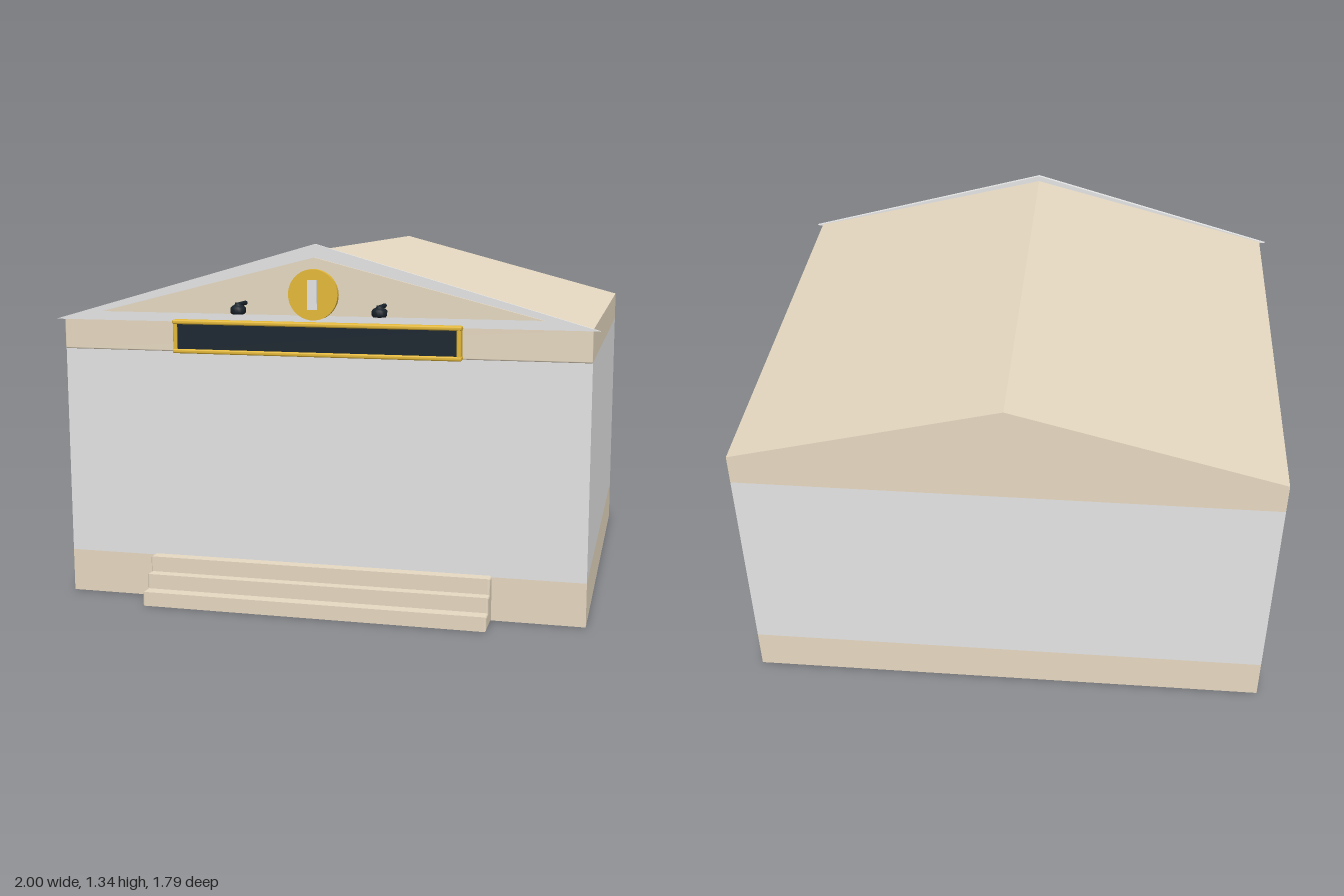
import * as THREE from 'three';
import { RoundedBoxGeometry } from 'three/addons/geometries/RoundedBoxGeometry.js';

const makeMaterial = (name, color) => {
  const m = new THREE.MeshStandardMaterial({ color });
  m.name = name;
  return m;
};

export function createModel() {
  const sand = makeMaterial('sand stone', 0xe7d9c2);
  const grey = makeMaterial('light grey plaster', 0xe5e5e5);
  const gold = makeMaterial('gold', 0xe5b938);
  const navy = makeMaterial('dark navy', 0x1b2530);
  const black = makeMaterial('lamp black', 0x18222a);

  const model = new THREE.Group();
  model.name = 'building';

  const add = (name, geometry, material, x = 0, y = 0, z = 0, parent = model) => {
    const mesh = new THREE.Mesh(geometry, material);
    mesh.name = name;
    mesh.position.set(x, y, z);
    parent.add(mesh);
    return mesh;
  };

  // Extruded gable triangle with its base at y0, its peak at y1, spanning z0 to z1
  const gable = (name, halfWidth, y0, y1, z0, z1, material) => {
    const shape = new THREE.Shape([
      new THREE.Vector2(-halfWidth, y0),
      new THREE.Vector2(halfWidth, y0),
      new THREE.Vector2(0, y1),
    ]);
    const geometry = new THREE.ExtrudeGeometry(shape, { depth: z1 - z0, bevelEnabled: false });
    return add(name, geometry, material, 0, 0, z0);
  };

  // Walls: plinth, plain wall and upper band stacked flush
  const back = -0.895, front = 0.75;
  const layers = [
    ['plinth', 0, 0.16, sand],
    ['wall', 0.16, 0.94, grey],
    ['upperBand', 0.94, 1.055, sand],
  ];
  for (const [name, y0, y1, material] of layers) {
    add(name, new THREE.BoxGeometry(1.95, y1 - y0, front - back), material,
      0, (y0 + y1) / 2, (front + back) / 2);
  }

  // Soft-edged fascia board across the front
  add('fascia', new RoundedBoxGeometry(1.95, 0.117, 0.03, 2, 0.005), sand, 0, 0.9965, 0.742);

  // Roof and layered pediment
  gable('roof', 0.975, 1.055, 1.312, back, 0.765, sand);
  gable('pedimentFrame', 1.0, 1.05, 1.335, 0.763, 0.775, grey);
  gable('pedimentPanel', 0.81, 1.083, 1.288, 0.775, 0.786, sand);

  // Front steps from one softened side profile
  const profile = [
    [0.745, 0], [0.88, 0], [0.88, 0.053], [0.833, 0.053], [0.833, 0.108],
    [0.794, 0.108], [0.794, 0.165], [0.745, 0.165],
  ].map(([z, y]) => new THREE.Vector2(z, y));
  const bevel = 0.008;
  const steps = new THREE.ExtrudeGeometry(new THREE.Shape(profile), {
    depth: 1.28 - 2 * bevel, bevelEnabled: true, bevelThickness: bevel,
    bevelSize: bevel, bevelOffset: -bevel, bevelSegments: 3,
  });
  steps.translate(0, 0, -0.64 + bevel);
  steps.rotateY(-Math.PI / 2);
  add('frontSteps', steps, sand);

  // Sign board with a rounded gold frame
  const sign = new THREE.Group();
  sign.name = 'signBoard';
  sign.position.set(0, 0.998, 0.783);
  model.add(sign);
  add('signPanel', new THREE.BoxGeometry(1.03, 0.1, 0.036), navy, 0, 0, -0.003, sign);
  for (const s of [-1, 1]) {
    add('frameRail', new RoundedBoxGeometry(1.06, 0.016, 0.046, 2, 0.006), gold, 0, s * 0.053, 0, sign);
    add('frameEnd', new RoundedBoxGeometry(0.016, 0.1, 0.042, 2, 0.005), gold, s * 0.52, 0, 0, sign);
  }

  // Round gold medallion with a pale upright bar
  const disc = new THREE.CylinderGeometry(0.09, 0.09, 0.022, 48);
  disc.rotateX(Math.PI / 2);
  add('medallion', disc, gold, 0, 1.158, 0.795);
  add('medallionBar', new THREE.BoxGeometry(0.035, 0.105, 0.009), grey, 0, 1.158, 0.81);

  // Two spot lamps on short arms
  const headProfile = [
    [0, -0.02], [0.022, -0.02], [0.027, -0.014], [0.027, 0.002],
    [0.02, 0.009], [0.012, 0.013], [0.01, 0.02], [0, 0.02],
  ].map(([r, y]) => new THREE.Vector2(r, y));
  for (const s of [-1, 1]) {
    const lamp = new THREE.Group();
    lamp.name = s > 0 ? 'leftLamp' : 'rightLamp';
    lamp.position.set(s * 0.255, 1.111, 0.867);
    model.add(lamp);
    add('lampHead', new THREE.LatheGeometry(headProfile, 16), black, 0, 0, 0, lamp);
    const arm = new THREE.CylinderGeometry(0.008, 0.008, 0.09, 12);
    arm.rotateX(Math.PI / 2);
    add('lampArm', arm, black, 0, 0.013, -0.043, lamp);
    add('lampLens', new THREE.CylinderGeometry(0.016, 0.016, 0.004, 16), grey, 0, -0.021, 0, lamp);
  }

  return model;
}
